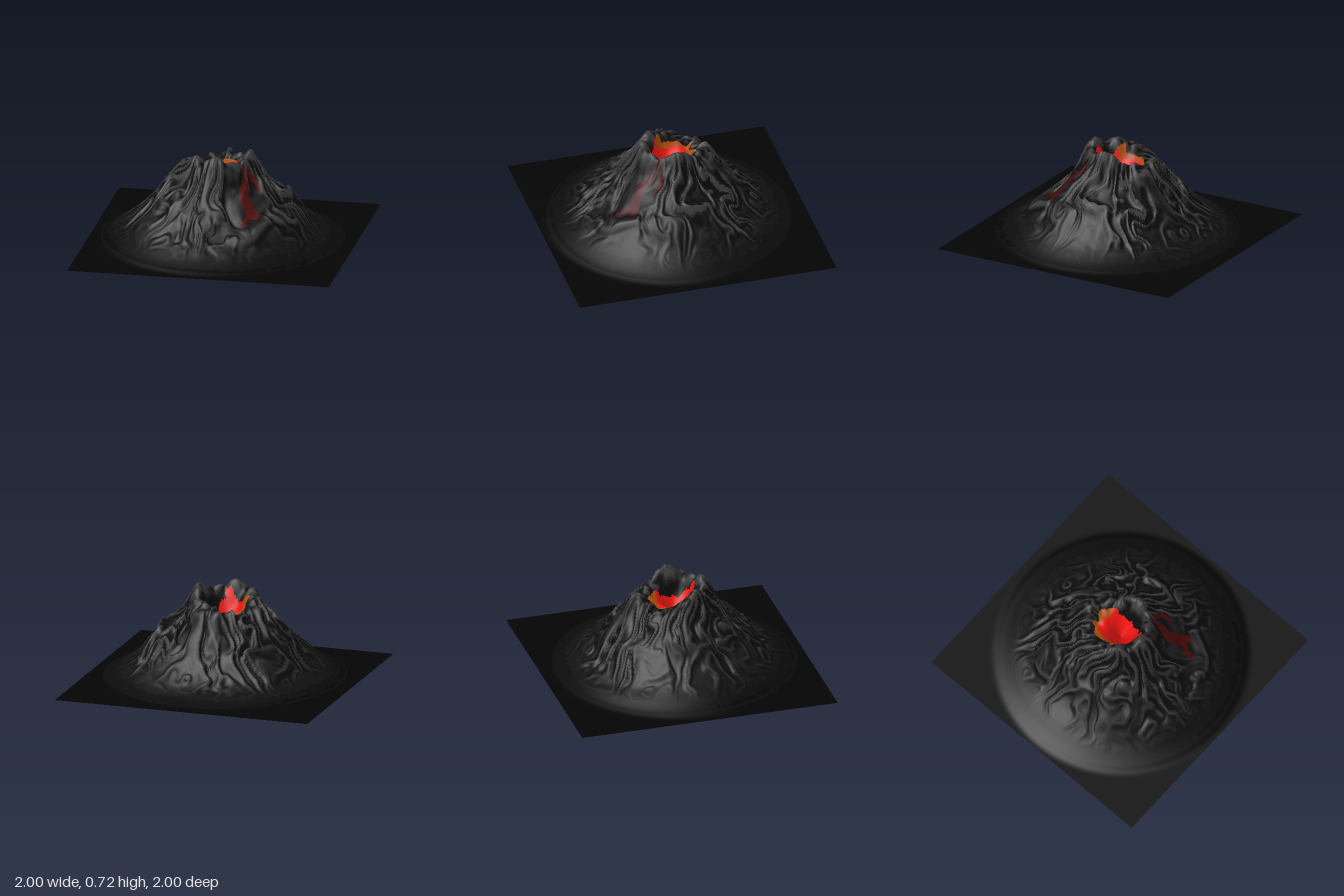
import * as THREE from 'three';

const N = 250;                       // grid cells per side
const CX = -0.01, CZ = 0.02;         // crater axis
const TAU = Math.PI * 2;
const TONES = 10;                    // shades of rock, dark to light

// Rim height every 30 degrees, from +x towards +z
const RIM = [0.71, 0.65, 0.65, 0.71, 0.64, 0.69, 0.61, 0.56, 0.54, 0.56, 0.61, 0.65];

// Flank heights at distances 0.3 ... 0.9, every 45 degrees from +x towards +z
const FLANK = [
  [0.55, 0.45, 0.37, 0.27, 0.15, 0.075, 0.025],
  [0.51, 0.41, 0.28, 0.23, 0.14, 0.07, 0.02],
  [0.54, 0.38, 0.28, 0.20, 0.13, 0.07, 0.025],
  [0.52, 0.40, 0.30, 0.22, 0.14, 0.08, 0.03],
  [0.56, 0.46, 0.34, 0.24, 0.16, 0.09, 0.03],
  [0.53, 0.42, 0.30, 0.20, 0.12, 0.07, 0.02],
  [0.58, 0.42, 0.27, 0.16, 0.09, 0.05, 0.02],
  [0.53, 0.42, 0.32, 0.20, 0.12, 0.06, 0.02],
];

// Lava stream down the flank, as x, z paths
const STREAMS = [
  { w: 0.012, p: [[0.18, 0.16], [0.21, 0.22]] },
  { w: 0.026, p: [[0.21, 0.23], [0.2, 0.3], [0.25, 0.33], [0.31, 0.39]] },
  { w: 0.04, p: [[0.21, 0.31], [0.25, 0.35], [0.3, 0.38]] },
  { w: 0.012, p: [[0.22, 0.16], [0.29, 0.16], [0.31, 0.23]] },
  { w: 0.016, p: [[0.28, 0.4], [0.25, 0.44], [0.25, 0.5]] },
];

const mod = (a, n) => ((a % n) + n) % n;
const smooth = (a, b, x) => THREE.MathUtils.smoothstep(x, a, b);

function cubic(a, b, c, d, t) {
  return b + 0.5 * t * (c - a + t * (2 * a - 5 * b + 4 * c - d + t * (3 * (b - c) + d - a)));
}

// Smooth lookup in a table that wraps round the mountain
function around(get, count, angle) {
  const f = mod(angle / TAU, 1) * count, i = Math.floor(f);
  const g = (k) => get(mod(i + k, count));
  return cubic(g(-1), g(0), g(1), g(2), f - i);
}

// Value noise; the first axis can repeat after a whole number of cells
function noise(x, y, period = 4096) {
  const hash = (i, j) => {
    let h = Math.imul(mod(i, period) + 17, 374761393) ^ Math.imul(j + 101, 668265263);
    h = Math.imul(h ^ (h >>> 13), 1274126177);
    return ((h ^ (h >>> 16)) >>> 0) / 4294967296;
  };
  const i = Math.floor(x), j = Math.floor(y);
  const u = smooth(0, 1, x - i), v = smooth(0, 1, y - j);
  const mix = THREE.MathUtils.lerp;
  return mix(mix(hash(i, j), hash(i + 1, j), u), mix(hash(i, j + 1), hash(i + 1, j + 1), u), v);
}

// Sharp crests and gullies running down the slope, about zero on average
function gullies(x, z, angle, d) {
  const bend = angle + 0.6 * (noise(x * 5 + 40, z * 5 + 40) - 0.5) + 0.25 * (noise(x * 13 + 70, z * 13 + 70) - 0.5);
  const ridge = (n, k, o) => (1 - Math.abs(2 * noise(mod(bend / TAU, 1) * n, d * k + o, n) - 1)) ** 2 - 0.42;
  const calm = 1 - 0.7 * Math.exp(-(((angle - 0.88) / 0.25) ** 2));   // smoother under the lava stream
  return calm * (0.06 * ridge(24, 3, 3) + 0.03 * ridge(52, 5, 31));
}

function height(x, z) {
  const dx = x - CX, dz = z - CZ, d = Math.hypot(dx, dz), angle = Math.atan2(dz, dx);
  const ring = (k) => {
    if (k < 0) return 0.23;              // makes the crater floor a pointed funnel
    if (k === 0) return 0.36;
    if (k === 1) return 0.5;
    if (k === 2) return around((i) => RIM[i], 12, angle);
    if (k > 9) return 0;
    return around((i) => FLANK[i][k - 3], 8, angle);
  };
  const i = Math.floor(d * 10);
  let y = cubic(ring(i - 1), ring(i), ring(i + 1), ring(i + 2), d * 10 - i);
  y += smooth(0.17, 0.32, d) * (1 - smooth(0.42, 0.85, d)) * gullies(x, z, angle, d);
  // Craggy rim
  const rim = Math.exp(-(((d - 0.21) / 0.07) ** 2));
  y += rim * 0.05 * (noise(x * 22 + 90, z * 22 + 90) - 0.5);
  // Raised edge of the old flow on the front left flank
  const edge = 0.6 + 0.05 * Math.sin(angle * 7);
  y += 0.035 * smooth(0.3, 0.6, angle) * (1 - smooth(1.1, 1.4, angle)) *
    smooth(0.42, edge, d) * (1 - smooth(edge, edge + 0.05, d));
  return Math.max(0, y * (1 - smooth(0.9, 1, d)));
}

function segmentDistance(x, z, [ax, az], [bx, bz]) {
  const ux = bx - ax, uz = bz - az;
  const t = THREE.MathUtils.clamp(((x - ax) * ux + (z - az) * uz) / (ux * ux + uz * uz), 0, 1);
  return Math.hypot(x - ax - t * ux, z - az - t * uz);
}

// Which part a grid cell belongs to
function partAt(x, z, convexity) {
  const wobble = 0.3 * (noise(x * 28 + 60, z * 28 + 60) - 0.5);
  // Squarish lava pool with its front right corner cut off
  const q = Math.cbrt(Math.abs((x + 0.045) / 0.13) ** 3 + Math.abs(z / 0.175) ** 3) + wobble;
  if (q < 1 && z - 0.6 * x < 0.18)
    return q > 0.74 && (x < -0.11 || z < -0.11) ? 'glowingCraterWall' : 'craterLava';
  for (const { w, p } of STREAMS)
    for (let k = 1; k < p.length; k++)
      if (segmentDistance(x, z, p[k - 1], p[k]) < w * (1 + wobble)) return 'lavaStream';
  // Rock pales towards the slopes and on sharp crests
  const d = Math.hypot(x, z) + 0.2 * wobble;
  const tone = 3 * (1 - smooth(0.6, 1.02, d)) + 190 * THREE.MathUtils.clamp(convexity, -0.008, 0.032);
  return 'rockTone' + THREE.MathUtils.clamp(Math.round(tone), 0, TONES - 1);
}

export function createModel() {
  const group = new THREE.Group();
  group.name = 'volcano';

  // Height field
  const positions = [];
  const row = N + 1;
  for (let j = 0; j <= N; j++)
    for (let i = 0; i <= N; i++) {
      const x = (2 * i) / N - 1, z = (2 * j) / N - 1;
      positions.push(x, height(x, z), z);
    }
  const y = (k) => positions[3 * k + 1] ?? 0;
  const convexity = (k) => 4 * y(k) - y(k - 3) - y(k + 3) - y(k - 3 * row) - y(k + 3 * row);

  // Sort the cells into parts
  const colors = { craterLava: 0xe81410, glowingCraterWall: 0xa84a0c, lavaStream: 0x480806 };
  for (let t = 0; t < TONES; t++) colors['rockTone' + t] = 0x010101 * (4 + 6 * t);
  const all = [], parts = {};
  for (const name in colors) parts[name] = [];
  for (let j = 0; j < N; j++)
    for (let i = 0; i < N; i++) {
      const a = j * row + i, b = a + 1, c = a + row, e = c + 1;
      const cell = [a, c, b, b, c, e];
      all.push(...cell);
      parts[partAt((2 * i + 1) / N - 1, (2 * j + 1) / N - 1, convexity(a))].push(...cell);
    }

  // Shared smooth normals keep the seams between parts invisible
  const terrain = new THREE.BufferGeometry();
  terrain.setAttribute('position', new THREE.Float32BufferAttribute(positions, 3));
  terrain.setIndex(all);
  terrain.computeVertexNormals();

  for (const name in colors) {
    const geometry = new THREE.BufferGeometry();
    geometry.setAttribute('position', terrain.attributes.position);
    geometry.setAttribute('normal', terrain.attributes.normal);
    geometry.setIndex(parts[name]);
    const mesh = new THREE.Mesh(geometry,
      new THREE.MeshStandardMaterial({ color: colors[name], side: THREE.DoubleSide }));
    mesh.name = name;
    group.add(mesh);
  }
  return group;
}
